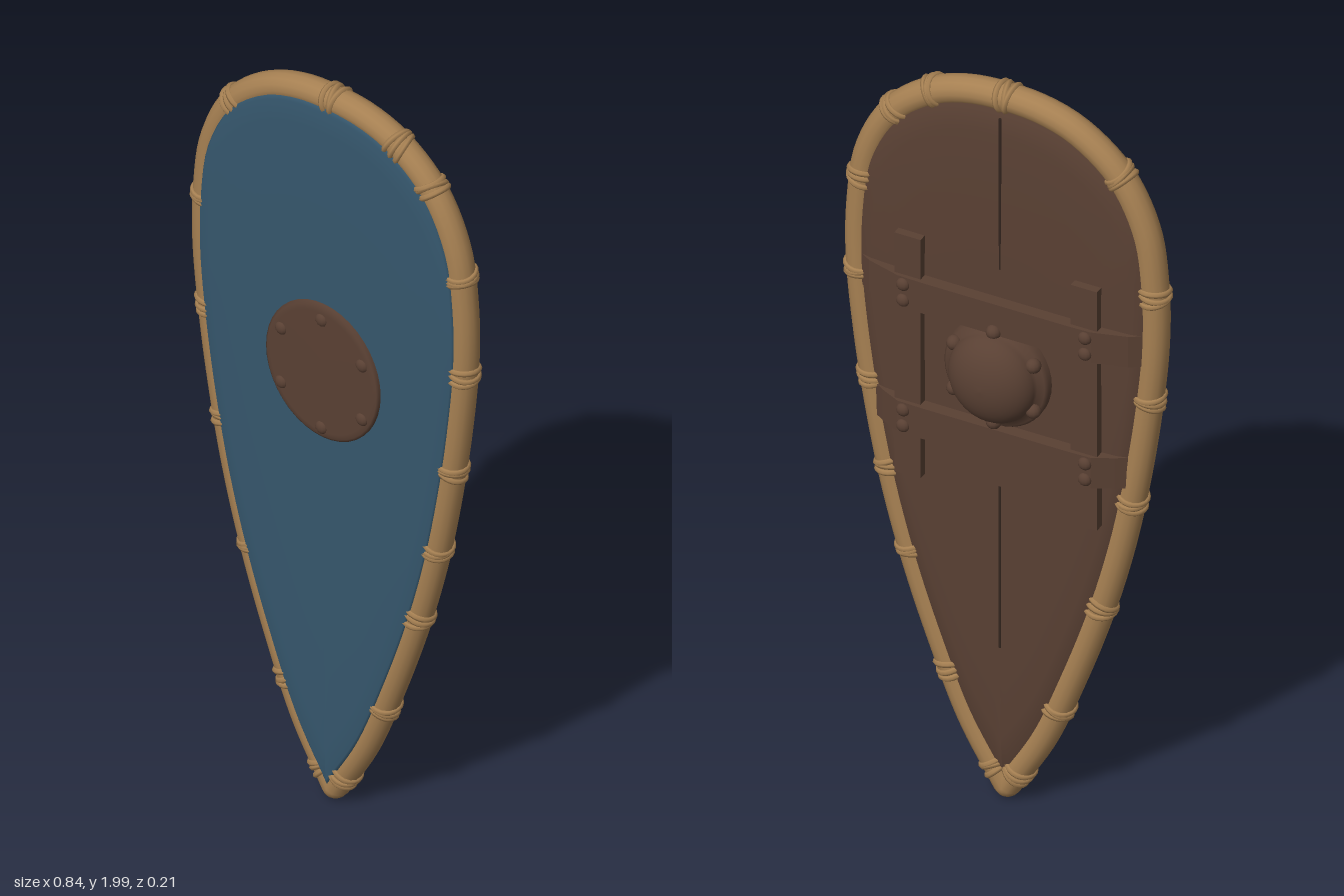
import * as THREE from 'three';

const blue = new THREE.MeshStandardMaterial({ color: 0x35566c });
const brown = new THREE.MeshStandardMaterial({ color: 0x594033 });
const tan = new THREE.MeshStandardMaterial({ color: 0xa68052 });
const dark = new THREE.MeshStandardMaterial({ color: 0x33251e });
blue.name = 'blue paint';
brown.name = 'brown wood and leather';
tan.name = 'tan rim';
dark.name = 'dark seam';

const CY = 1.22; // height of the boss

// Half outline of the rim, from the tip up to the top
const half = [[0, 0.045], [0.09, 0.2], [0.17, 0.4], [0.238, 0.6], [0.292, 0.8], [0.332, 1.0],
  [0.362, 1.2], [0.381, 1.4], [0.379, 1.55], [0.357, 1.7], [0.292, 1.83], [0.19, 1.915], [0.1, 1.948]];
const outline = [...half, [0, 1.957], ...half.slice().reverse().map(([x, y]) => [-x, y])];
const rimCurve = new THREE.CatmullRomCurve3(outline.map(([x, y]) => new THREE.Vector3(x, y, 0.04)));

function add(parent, name, geometry, material, x = 0, y = 0, z = 0) {
  const mesh = new THREE.Mesh(geometry, material);
  mesh.name = name;
  mesh.position.set(x, y, z);
  parent.add(mesh);
  return mesh;
}

// Gently domed face made of shrinking copies of the outline; rings are [scale, z]
function faceGeometry(rings, flip) {
  const n = 120, pos = [], index = [];
  const pts = rimCurve.getSpacedPoints(n);
  for (const [s, z] of rings) {
    for (const p of pts) pos.push(p.x * s, CY + (p.y - CY) * s, z);
  }
  for (let r = 0; r < rings.length - 1; r++) {
    for (let i = 0; i < n; i++) {
      const a = r * (n + 1) + i, b = a + 1, c = a + n + 1, d = c + 1;
      if (flip) index.push(a, d, b, a, c, d);
      else index.push(a, b, d, a, d, c);
    }
  }
  const g = new THREE.BufferGeometry();
  g.setAttribute('position', new THREE.Float32BufferAttribute(pos, 3));
  g.setIndex(index);
  g.computeVertexNormals();
  return g;
}

function lathe(profile, turn) {
  return new THREE.LatheGeometry(profile.map(([r, h]) => new THREE.Vector2(r, h)), 40).rotateX(turn);
}

// Strap profile seen from above, extruded upwards; it steps over the wooden bars
function strapGeometry(w, h) {
  const top = [[-w, -0.012], [-w + 0.03, 0.006], [-0.25, 0.03], [-0.19, 0.032]];
  const s = new THREE.Shape();
  s.moveTo(-w, -0.03);
  top.forEach(([x, y]) => s.lineTo(x, y));
  top.slice().reverse().forEach(([x, y]) => s.lineTo(-x, y));
  s.lineTo(w, -0.03);
  return new THREE.ExtrudeGeometry(s, { depth: h, bevelEnabled: false })
    .translate(0, 0, -h / 2).rotateX(-Math.PI / 2);
}

export function createModel() {
  const shield = new THREE.Group();
  shield.name = 'shield';

  // Painted front and wooden back
  add(shield, 'paintedFront', faceGeometry(
    [[0.995, 0.05], [0.988, 0.072], [0.975, 0.078], [0.9, 0.081], [0.6, 0.083], [0, 0.083]], false), blue);
  add(shield, 'woodenBack', faceGeometry(
    [[1, 0.03], [0.96, 0.012], [0.88, 0.004], [0.7, 0], [0.4, -0.001], [0, -0.001]], true), brown);

  // Seams between the back planks
  for (const [y, len, z] of [[1.71, 0.42, 0.001], [0.67, 0.45, 0]]) {
    const seam = add(shield, 'plankSeam', new THREE.CylinderGeometry(0.004, 0.004, len, 6), dark, 0, y, z);
    seam.scale.z = 0.7;
  }

  // Rim and its tip
  add(shield, 'rim', new THREE.TubeGeometry(rimCurve, 160, 0.035, 14, false), tan);
  const tip = add(shield, 'rimTip', new THREE.SphereGeometry(0.035, 16, 12), tan, 0, 0.045, 0.04);
  tip.scale.set(0.95, 1, 1);

  // Cord bindings, placed at the rim point nearest each spot
  const spots = [[0, 1.96], [0.2, 1.92], [0.285, 1.84], [0.372, 1.63], [0.38, 1.36], [0.345, 1.08], [0.3, 0.84],
    [0.248, 0.63], [0.14, 0.33], [0.025, 0.09], [-0.025, 0.09], [-0.14, 0.29], [-0.245, 0.62], [-0.32, 0.94],
    [-0.366, 1.23], [-0.381, 1.53], [-0.295, 1.83]];
  const samples = rimCurve.getSpacedPoints(400);
  const forward = new THREE.Vector3(0, 0, 1);
  spots.forEach(([x, y], k) => {
    let best = 0;
    samples.forEach((p, i) => {
      if (Math.hypot(p.x - x, p.y - y) < Math.hypot(samples[best].x - x, samples[best].y - y)) best = i;
    });
    const binding = new THREE.Group();
    binding.name = 'cordBinding';
    binding.position.copy(samples[best]);
    binding.quaternion.setFromUnitVectors(forward, rimCurve.getTangentAt(best / 400));
    for (let j = -1; j <= 1; j++) {
      const cord = add(binding, 'cord', new THREE.TorusGeometry(0.034, 0.008, 6, 20), tan, 0, 0, j * 0.012);
      cord.rotation.set(Math.sin(k * 2.3 + j) * 0.2, Math.cos(k * 1.7 + j * 2) * 0.2, 0);
    }
    shield.add(binding);
  });

  // Front plate with rivets
  const plate = add(shield, 'frontPlate', lathe(
    [[0.168, -0.02], [0.168, 0.008], [0.162, 0.012], [0.15, 0.014], [0, 0.015]], Math.PI / 2), brown, 0, CY + 0.005, 0.08);
  plate.scale.y = 1.1;
  for (let i = 0; i < 6; i++) {
    const a = Math.PI / 2 + i * Math.PI / 3;
    const rivet = add(shield, 'frontRivet', new THREE.SphereGeometry(0.017, 12, 8), brown,
      Math.cos(a) * 0.138, CY + Math.sin(a) * 0.15, 0.092);
    rivet.scale.z = 0.6;
  }

  // Back boss: flange, dome and studs
  const dome = Array.from({ length: 10 }, (_, i) => {
    const a = i / 9 * Math.PI / 2;
    return [0.112 * Math.cos(a), 0.03 + 0.073 * Math.sin(a)];
  });
  const boss = add(shield, 'backBoss', lathe([[0.135, -0.01], [0.135, 0.016], [0.128, 0.024], ...dome], -Math.PI / 2),
    brown, 0, CY, 0);
  boss.scale.y = 1.06;
  for (let i = 0; i < 6; i++) {
    const a = Math.PI / 2 + i * Math.PI / 3;
    add(shield, 'bossStud', new THREE.SphereGeometry(0.019, 12, 8), brown,
      Math.cos(a) * 0.118, CY + Math.sin(a) * 0.125, -0.03);
  }

  // Two straps over two upright bars, riveted where they cross
  const straps = [[1.38, 0.365], [1.03, 0.33]];
  for (const [y, w] of straps) add(shield, 'strap', strapGeometry(w, 0.085), brown, 0, y, 0);
  for (const side of [-1, 1]) {
    add(shield, 'uprightBar', new THREE.BoxGeometry(0.068, 0.665, 0.034), brown, side * 0.228, 1.2, -0.004);
    for (const [y] of straps) {
      for (const d of [-0.022, 0.022]) {
        const rivet = add(shield, 'strapRivet', new THREE.SphereGeometry(0.017, 12, 8), brown,
          side * 0.235, y + d, -0.03);
        rivet.scale.z = 0.7;
      }
    }
  }
  return shield;
}
